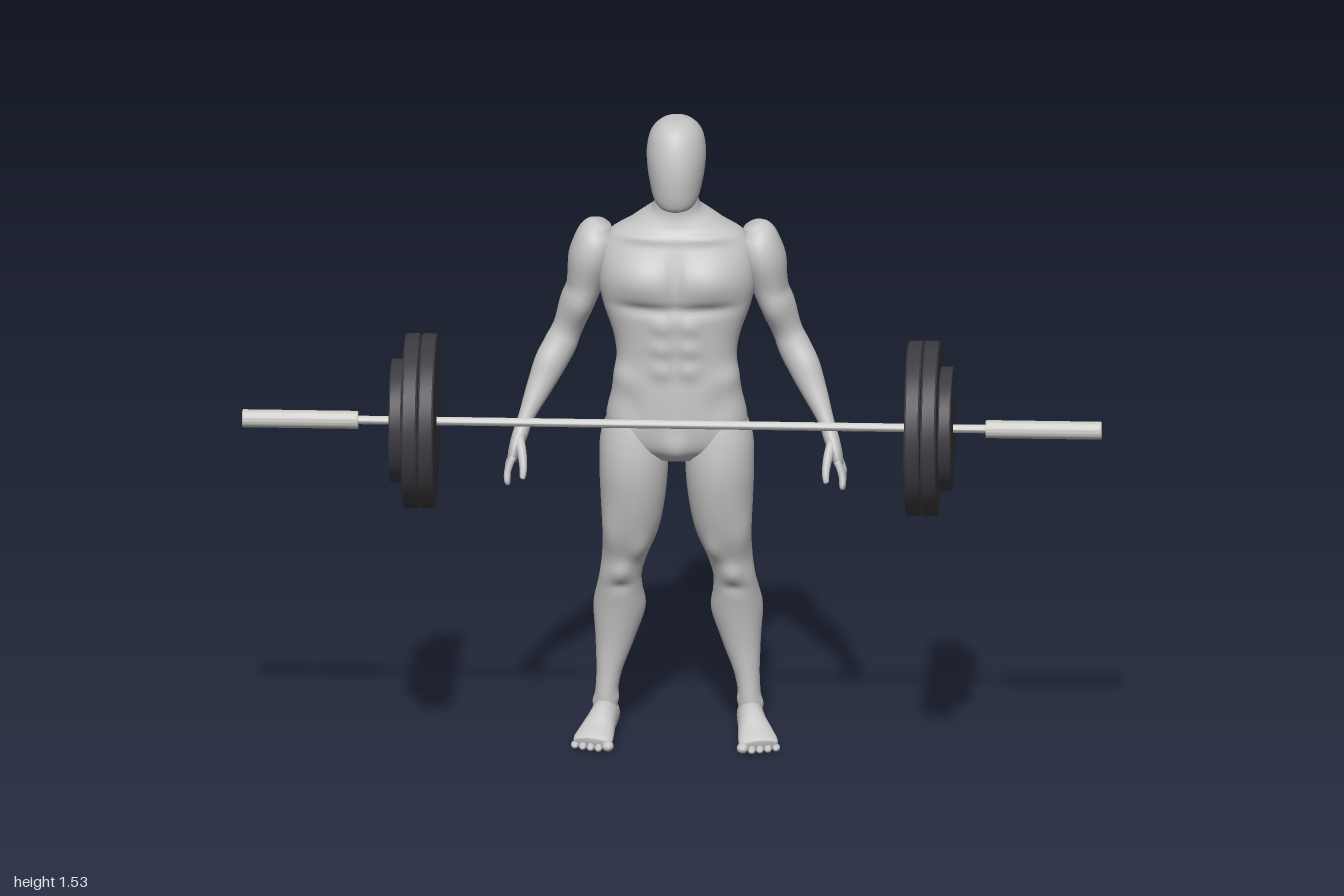
import * as THREE from 'three';
import { toCreasedNormals } from 'three/addons/utils/BufferGeometryUtils.js';

const skin = new THREE.MeshStandardMaterial({ name: 'light grey body', color: 0xc6c6c6 });
const steel = new THREE.MeshStandardMaterial({ name: 'bar grey', color: 0xc9c9c6 });
const rubber = new THREE.MeshStandardMaterial({ name: 'dark plate', color: 0x3b3b40 });

// Smooth skin through elliptical rings. Rows are [x, y, z, width radius, depth radius].
// Level rings stay horizontal, otherwise they stand square to the path.
function loft(rows, { level = false, power = 1, sides = 40, steps = 5, bumps = [] } = {}) {
  const path = new THREE.CatmullRomCurve3(rows.map(r => new THREE.Vector3(r[0], r[1], r[2])), false, 'catmullrom');
  const size = new THREE.CatmullRomCurve3(rows.map(r => new THREE.Vector3(r[3], r[4], 0)), false, 'catmullrom');
  const count = (rows.length - 1) * steps;
  const pos = [], index = [];
  const bend = v => Math.sign(v) * Math.abs(v) ** power;
  for (let k = -1; k <= count + 1; k++) {
    const t = Math.min(Math.max(k / count, 0), 1);
    const c = path.getPoint(t), s = size.getPoint(t);
    if (k < 0 || k > count) s.set(0, 0, 0); // closed ends
    const T = level ? new THREE.Vector3(0, -1, 0) : path.getTangent(t);
    const U = new THREE.Vector3(1, 0, 0).addScaledVector(T, -T.x).normalize();
    const V = new THREE.Vector3().crossVectors(T, U);
    for (let j = 0; j < sides; j++) {
      const a = j / sides * Math.PI * 2;
      const p = c.clone().addScaledVector(U, s.x * bend(Math.cos(a))).addScaledVector(V, s.y * bend(Math.sin(a)));
      pos.push(p.x, Math.max(p.y, 0), p.z);
    }
  }
  for (let k = 0; k < count + 2; k++) for (let j = 0; j < sides; j++) {
    const a = k * sides + j, b = k * sides + (j + 1) % sides;
    index.push(a, b, a + sides, b, b + sides, a + sides);
  }
  const g = new THREE.BufferGeometry();
  g.setAttribute('position', new THREE.Float32BufferAttribute(pos, 3));
  g.setIndex(index);
  g.computeVertexNormals();
  // Muscles: push the skin along its normal, fading with distance from [x, y, z, sx, sy, sz, amount]
  const P = g.attributes.position, N = g.attributes.normal;
  for (let i = 0; i < P.count; i++) {
    let d = 0;
    for (const [x, y, z, sx, sy, sz, h] of bumps)
      d += h * Math.exp(-(((P.getX(i) - x) / sx) ** 2) - ((P.getY(i) - y) / sy) ** 2 - ((P.getZ(i) - z) / sz) ** 2);
    P.setXYZ(i, P.getX(i) + N.getX(i) * d, P.getY(i) + N.getY(i) * d, P.getZ(i) + N.getZ(i) * d);
  }
  g.computeVertexNormals();
  return g;
}

const bothSides = list => list.flatMap(b => b[0] ? [b, [-b[0], ...b.slice(1)]] : [b]);

function mirrored(geometry) {
  const g = geometry.clone().scale(-1, 1, 1);
  const ix = g.index.array;
  for (let i = 0; i < ix.length; i += 3) [ix[i], ix[i + 1]] = [ix[i + 1], ix[i]];
  g.computeVertexNormals();
  return g;
}

export function createModel() {
  const model = new THREE.Group();
  model.name = 'athlete with barbell';
  const add = (name, g, m) => {
    const mesh = new THREE.Mesh(g, m);
    mesh.name = name;
    model.add(mesh);
  };
  const addPair = (name, g) => {
    add('left ' + name, g, skin);
    add('right ' + name, mirrored(g), skin);
  };

  // Plain, faceless head
  add('head', loft([
    [0, 1.534, -.14, .018, .024], [0, 1.525, -.14, .041, .056], [0, 1.5, -.142, .061, .081],
    [0, 1.46, -.137, .069, .091], [0, 1.42, -.13, .067, .09], [0, 1.38, -.12, .06, .079],
    [0, 1.35, -.106, .051, .06], [0, 1.333, -.096, .038, .042], [0, 1.325, -.094, .02, .024],
  ], { level: true }), skin);

  // Neck, chest, back and hips
  add('torso', loft([
    [0, 1.38, -.155, .046, .048], [0, 1.33, -.155, .05, .045], [0, 1.3, -.166, .064, .055],
    [0, 1.275, -.174, .105, .07], [0, 1.245, -.174, .158, .084], [0, 1.2, -.173, .182, .098],
    [0, 1.14, -.166, .182, .104], [0, 1.08, -.158, .167, .096], [0, 1, -.153, .145, .088],
    [0, .93, -.15, .139, .082], [0, .87, -.151, .15, .086], [0, .8, -.157, .164, .093],
    [0, .74, -.16, .155, .085], [0, .705, -.16, .1, .055],
  ], { level: true, power: .88, sides: 96, steps: 8, bumps: bothSides([
    [.078, 1.155, -.06, .07, .05, .06, .02], [.075, 1.085, -.06, .07, .014, .05, -.01], // pectorals
    [0, 1.15, -.06, .012, .06, .05, -.014], [.08, 1.25, -.1, .07, .011, .05, .007], // breastbone, collarbones
    [.032, 1.045, -.065, .024, .022, .04, .008], [.032, .99, -.065, .024, .022, .04, .008], // abdominals
    [.032, .935, -.065, .024, .022, .04, .008], [0, .97, -.065, .008, .1, .04, -.006],
    [.12, .91, -.12, .035, .03, .06, .009], [.1, .84, -.075, .03, .04, .03, -.006], // obliques, groin
    [0, .745, -.08, .03, .035, .04, .014],
    [.1, 1.18, -.265, .05, .05, .05, .014], [.145, 1.09, -.2, .05, .07, .07, .01], // shoulder blades, lats
    [.05, 1.29, -.2, .05, .03, .05, .009], [0, 1.06, -.26, .018, .22, .05, -.02], // trapezius, spine
    [.04, .94, -.235, .025, .09, .04, .008],
    [.078, .785, -.25, .055, .055, .05, .023], [0, .765, -.25, .013, .06, .05, -.03], // buttocks
  ]) }), skin);

  // Thigh, knee and calf
  addPair('leg', loft([
    [.09, .84, -.16, .055, .065], [.098, .76, -.16, .078, .084], [.1, .68, -.155, .08, .085],
    [.102, .6, -.16, .075, .079], [.107, .52, -.172, .065, .07], [.122, .45, -.188, .053, .056],
    [.132, .4, -.195, .049, .051], [.135, .36, -.21, .052, .053], [.138, .3, -.227, .056, .056],
    [.148, .22, -.227, .044, .043], [.16, .15, -.222, .03, .034], [.167, .09, -.22, .026, .034],
    [.168, .05, -.222, .028, .036], [.168, .015, -.225, .026, .034],
  ], { level: true, sides: 56, bumps: [
    [.085, .475, -.125, .022, .035, .03, .01], [.152, .52, -.13, .025, .06, .04, .008], // thigh
    [.13, .415, -.14, .02, .022, .03, .008], [.132, .375, -.155, .025, .013, .03, -.005], // kneecap
    [.095, .31, -.255, .03, .05, .04, .01], [.182, .325, -.25, .025, .055, .04, .007], // calf
    [.138, .3, -.285, .008, .06, .03, -.005], [.1, .6, -.235, .04, .07, .04, .006],
    [.195, .075, -.22, .012, .014, .02, .005], [.142, .085, -.215, .012, .014, .02, .005], // ankle
  ] }));
  addPair('foot', loft([
    [.163, .034, -.268, .014, .02], [.165, .035, -.25, .028, .034], [.168, .043, -.215, .031, .043],
    [.175, .04, -.17, .034, .04], [.185, .027, -.13, .042, .027], [.192, .019, -.1, .046, .019],
    [.195, .014, -.084, .042, .013],
  ]));
  for (let i = 0; i < 5; i++) {
    const r = i ? .0095 : .014, z = [-.073, -.071, -.076, -.083, -.092][i];
    addPair('toe ' + (i + 1), new THREE.SphereGeometry(1, 14, 10).scale(r, r * .85, .019)
      .translate(.16 + i * .0185 - (i ? 0 : .003), r * .85, z));
  }

  // Shoulder, arm and palm
  addPair('arm', loft([
    [.172, 1.262, -.185, .02, .026], [.184, 1.238, -.185, .045, .055], [.196, 1.19, -.182, .05, .069],
    [.214, 1.12, -.187, .043, .057], [.235, 1.06, -.195, .04, .05], [.255, 1, -.2, .035, .041],
    [.272, .96, -.195, .038, .041], [.295, .915, -.18, .036, .039], [.322, .86, -.155, .029, .031],
    [.345, .81, -.13, .02, .024], [.355, .785, -.117, .018, .023], [.363, .762, -.107, .018, .028],
    [.373, .735, -.096, .015, .035], [.379, .712, -.088, .012, .033], [.381, .703, -.085, .008, .026],
  ], { sides: 48, bumps: [
    [.235, 1.18, -.19, .03, .04, .06, .007], [.24, 1.105, -.18, .03, .016, .05, -.006], // deltoid
    [.225, 1.06, -.145, .03, .045, .03, .009], [.235, 1.09, -.245, .03, .05, .03, .009], // biceps, triceps
    [.31, .93, -.16, .03, .04, .03, .006], [.262, .985, -.24, .015, .02, .02, .006], // forearm, elbow
  ] }));
  const fingerOptions = { sides: 12, steps: 4 };
  for (let i = 0; i < 4; i++) {
    const tip = [.662, .652, .655, .67][i];
    addPair('finger ' + (i + 1), loft([
      [.378, .722, -.064 - .0165 * i, .008, .0085], [.389, .69, -.054 - .02 * i, .008, .008],
      [.39, tip + .008, -.046 - .024 * i, .007, .007], [.388, tip, -.044 - .0245 * i, .004, .004],
    ], fingerOptions));
  }
  addPair('thumb', loft([
    [.364, .762, -.088, .012, .012], [.356, .732, -.06, .011, .012], [.352, .705, -.04, .009, .009],
    [.353, .685, -.03, .007, .007], [.354, .68, -.028, .004, .004],
  ], fingerOptions));

  // Barbell, turned about an axis along x
  const barY = .86, barZ = .09;
  function turned(name, x, radius, width, bevel, material) {
    const h = width / 2;
    const profile = [[0, -h], [radius - bevel, -h], [radius, bevel - h], [radius, h - bevel], [radius - bevel, h], [0, h]];
    const g = new THREE.LatheGeometry(profile.map(p => new THREE.Vector2(...p)), 64);
    g.rotateZ(-Math.PI / 2).translate(x, barY, barZ);
    add(name, toCreasedNormals(g, .6), material);
  }
  turned('bar', 0, .01, 1.5, .001, steel);
  for (const [side, s] of [['left', 1], ['right', -1]]) {
    turned(side + ' sleeve', s * .865, .021, .27, .002, steel);
    turned(side + ' inner plate', s * .566, .204, .036, .004, rubber);
    turned(side + ' outer plate', s * .604, .204, .036, .004, rubber);
    turned(side + ' small plate', s * .639, .144, .03, .003, rubber);
  }
  return model;
}
